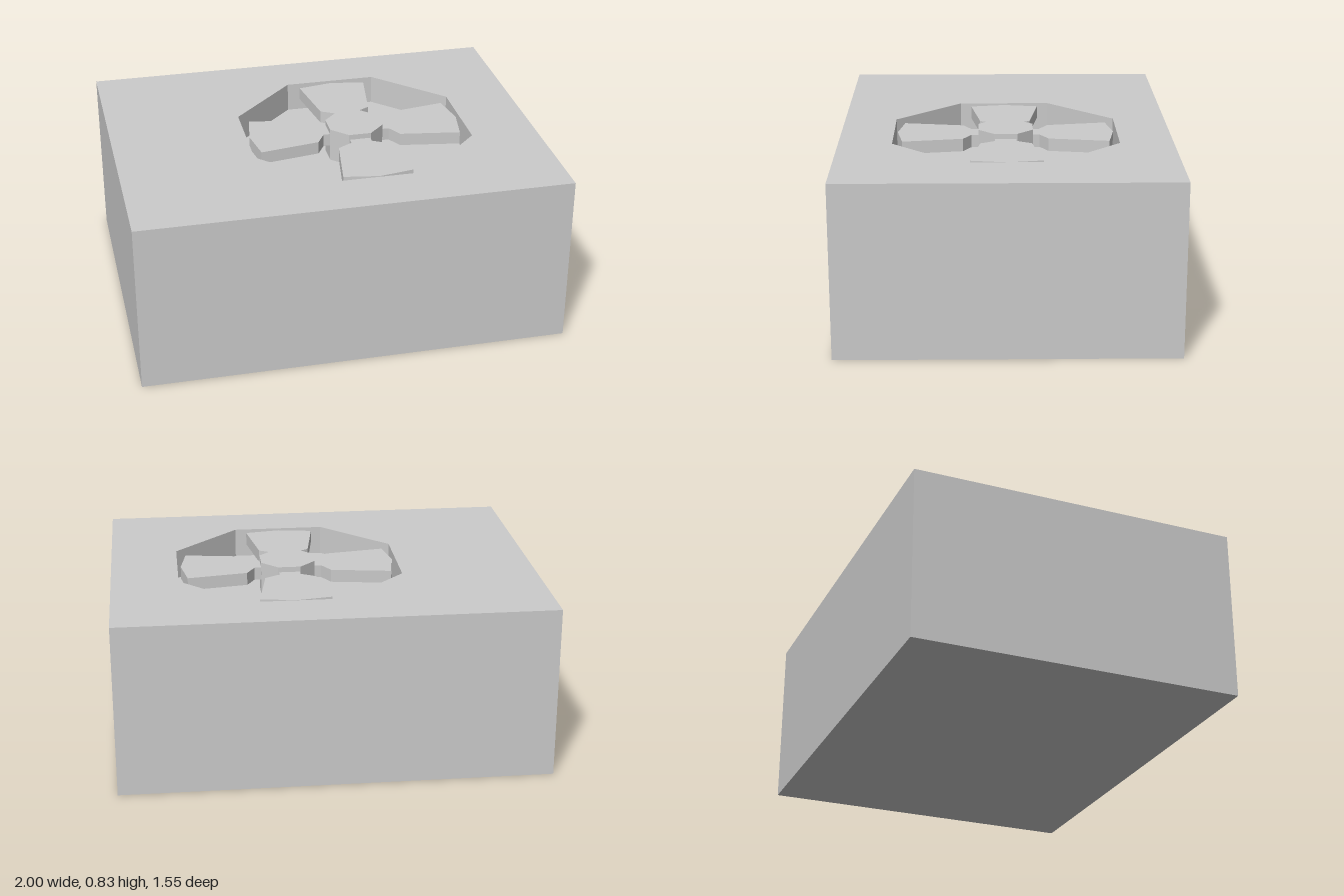
import * as THREE from 'three';

const WIDTH = 2, DEPTH = 1.55, TOP = 0.81;
const WELL_X = 0.16, WELL_R = 0.569, FLOOR = 0.67;
const HUB_R = 0.139, HUB_TOP = 0.83;
const BLADE_TOP = 0.805, BLADE_THICK = 0.06;

const material = new THREE.MeshStandardMaterial({ color: 0xcccccc, flatShading: true });
const insideMaterial = new THREE.MeshStandardMaterial({ color: 0xcccccc, flatShading: true, side: THREE.BackSide });

function addPart(parent, name, geometry, mat = material) {
  const mesh = new THREE.Mesh(geometry, mat);
  mesh.name = name;
  parent.add(mesh);
  return mesh;
}

// Octagonal prism with flats facing the axes
function octagon(radius, bottom, top, open = false) {
  return new THREE.CylinderGeometry(radius, radius, top - bottom, 8, 1, open, Math.PI / 8)
    .translate(WELL_X, (top + bottom) / 2, 0);
}

// Housing sides and base: a box without its top face
function shellGeometry() {
  const box = new THREE.BoxGeometry(WIDTH, TOP, DEPTH).translate(0, TOP / 2, 0);
  const index = Array.from(box.index.array);
  index.splice(12, 6);
  box.setIndex(index);
  box.clearGroups();
  return box;
}

// Top panel with the octagonal opening
function topGeometry() {
  const w = WIDTH / 2, d = DEPTH / 2;
  const shape = new THREE.Shape([[-w, -d], [w, -d], [w, d], [-w, d]].map(p => new THREE.Vector2(...p)));
  const rim = [];
  for (let i = 0; i < 8; i++) {
    const a = -(i + 0.5) * Math.PI / 4;
    rim.push(new THREE.Vector2(WELL_X + WELL_R * Math.cos(a), WELL_R * Math.sin(a)));
  }
  shape.holes.push(new THREE.Path(rim));
  return new THREE.ShapeGeometry(shape).rotateX(-Math.PI / 2).translate(0, TOP, 0);
}

// One blade: narrow neck, flared root and a slightly pointed tip
function bladeGeometry() {
  const half = [[0.05, 0.12], [0.05, 0.16], [0.12, 0.2], [0.165, 0.482]];
  const outline = [...half, [0, 0.51], ...half.map(([x, y]) => [-x, y]).reverse()];
  const shape = new THREE.Shape(outline.map(p => new THREE.Vector2(...p)));
  return new THREE.ExtrudeGeometry(shape, { depth: BLADE_THICK, bevelEnabled: false })
    .rotateX(-Math.PI / 2);
}

export function createModel() {
  const model = new THREE.Group();
  model.name = 'fanUnit';

  // Housing
  const housing = new THREE.Group();
  housing.name = 'housing';
  model.add(housing);
  addPart(housing, 'housingShell', shellGeometry());
  addPart(housing, 'topPanel', topGeometry());

  // Recessed fan well
  addPart(housing, 'wellWall', octagon(WELL_R, FLOOR, TOP, true), insideMaterial);
  addPart(housing, 'wellFloor', new THREE.CircleGeometry(WELL_R, 8, Math.PI / 8)
    .rotateX(-Math.PI / 2).translate(WELL_X, FLOOR, 0));

  // Fan
  const fan = new THREE.Group();
  fan.name = 'fan';
  model.add(fan);
  addPart(fan, 'fanHub', octagon(HUB_R, FLOOR, HUB_TOP));
  const blade = bladeGeometry();
  for (let i = 0; i < 4; i++) {
    const mesh = addPart(fan, 'fanBlade', blade);
    mesh.position.set(WELL_X, BLADE_TOP - BLADE_THICK, 0);
    mesh.rotation.y = i * Math.PI / 2;
  }
  return model;
}
